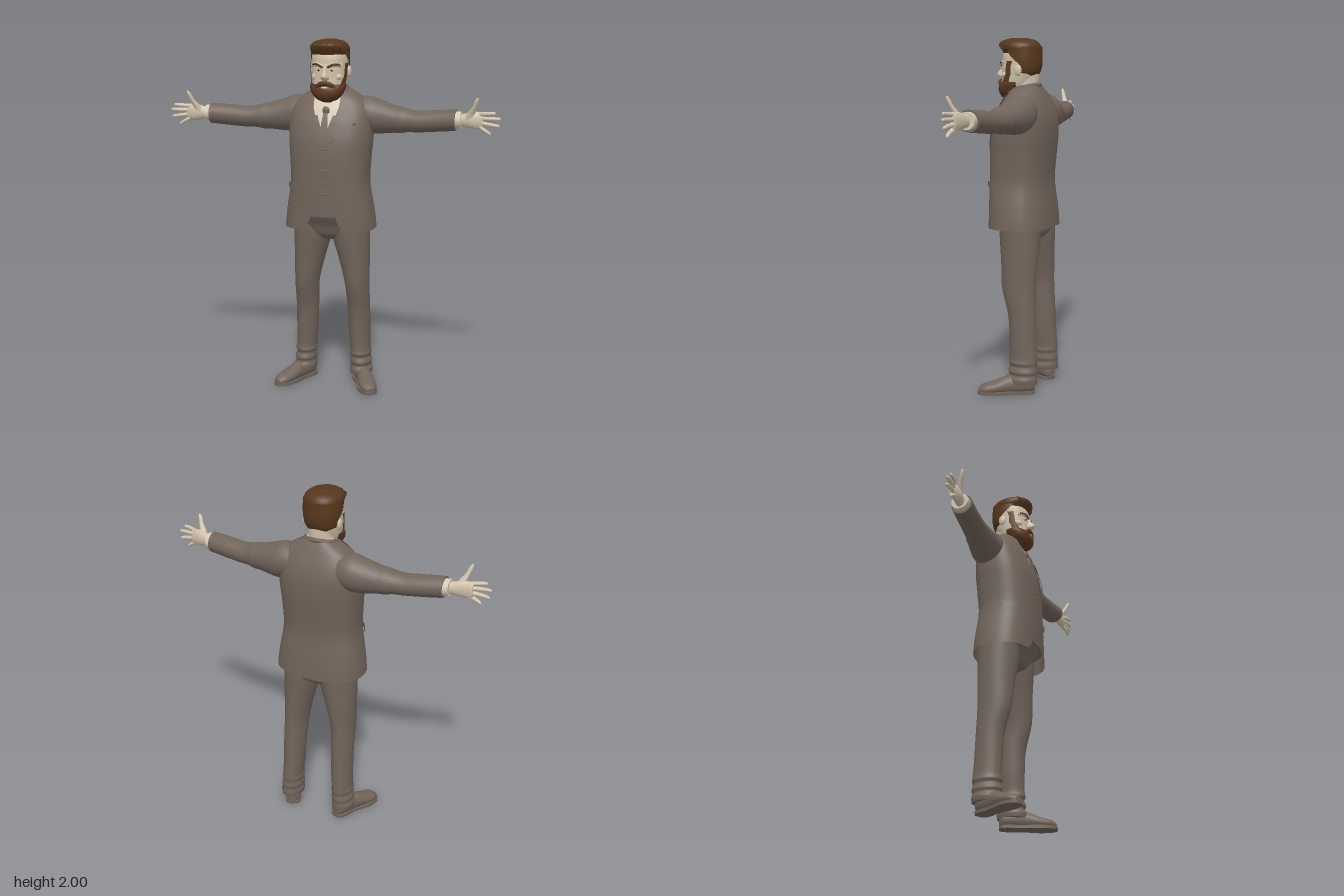
import * as THREE from 'three';

const paint = (name, color) => new THREE.MeshStandardMaterial({ name, color, side: THREE.DoubleSide });
const suit = paint('suit', 0x71645a), skin = paint('skin', 0xcfc1aa), shirt = paint('shirt', 0xd6c9b4);
const hair = paint('hair', 0x57371c), beard = paint('beard', 0x5c3821), dark = paint('dark', 0x3a2c22);

// Smooth interpolation of table rows at a fractional index
function cat(rows, s) {
  const i = Math.min(Math.floor(s), rows.length - 2), f = s - i;
  const [a, b, c, d] = [-1, 0, 1, 2].map(k => rows[Math.max(0, Math.min(rows.length - 1, i + k))]);
  return b.map((v, k) => v + 0.5 * f * (c[k] - a[k] + f * (2 * a[k] - 5 * v + 4 * c[k] - d[k] + f * (3 * (v - c[k]) + d[k] - a[k]))));
}

// Skin over a list of rings; closed rings get flat end caps
function loft(name, mat, rings, closed = true) {
  const pos = [], idx = [], n = rings[0].length, m = rings.length;
  rings.forEach(r => r.forEach(p => pos.push(p.x, p.y, p.z)));
  for (let i = 0; i < m - 1; i++) for (let j = 0; j < (closed ? n : n - 1); j++) {
    const a = i * n + j, b = i * n + (j + 1) % n;
    idx.push(a, a + n, b, b, a + n, b + n);
  }
  if (closed) [0, m - 1].forEach(e => {
    const base = pos.length / 3, c = new THREE.Vector3();
    rings[e].forEach(p => { pos.push(p.x, p.y, p.z); c.addScaledVector(p, 1 / n); });
    pos.push(c.x, c.y, c.z);
    for (let j = 0; j < n; j++) {
      const k = base + (j + 1) % n;
      if (e) idx.push(base + j, base + n, k); else idx.push(base + j, k, base + n);
    }
  });
  // Turn the faces outward
  const P = k => new THREE.Vector3().fromArray(pos, 3 * k);
  let vol = 0;
  for (let t = 0; t < idx.length; t += 3) vol += P(idx[t]).dot(P(idx[t + 1]).cross(P(idx[t + 2])));
  if (vol < 0) idx.reverse();
  const g = new THREE.BufferGeometry();
  g.setAttribute('position', new THREE.Float32BufferAttribute(pos, 3));
  g.setIndex(idx);
  g.computeVertexNormals();
  return named(name, g, mat);
}

function named(name, geometry, mat) {
  const mesh = new THREE.Mesh(geometry, mat);
  mesh.name = name;
  return mesh;
}

// Limb from rows [x, y, z, ra, rb], with elliptical rings square to one axis
function limb(name, mat, axis, rows, steps = 4, sides = 20) {
  const rings = [], total = (rows.length - 1) * steps;
  for (let i = 0; i <= total; i++) {
    const [x, y, z, ra, rb] = cat(rows, i / steps);
    rings.push(Array.from({ length: sides }, (_, j) => {
      const a = j / sides * Math.PI * 2, u = ra * Math.cos(a), v = rb * Math.sin(a);
      return axis === 'y' ? new THREE.Vector3(x + u, y, z + v)
        : axis === 'x' ? new THREE.Vector3(x, y + v, z + u) : new THREE.Vector3(x + u, y + v, z);
    }));
  }
  return loft(name, mat, rings);
}

// Upright rounded surface from rows [y, half width, front z, back z]
function surface(rows, p) {
  const pw = v => Math.sign(v) * Math.abs(v) ** p;
  const sample = y => {
    let i = 0;
    while (i < rows.length - 2 && y > rows[i + 1][0]) i++;
    return cat(rows, i + THREE.MathUtils.clamp((y - rows[i][0]) / (rows[i + 1][0] - rows[i][0]), 0, 1));
  };
  const at = (t, y, off = 0) => {
    const [, w, f, b] = sample(y);
    return new THREE.Vector3((w + off) * pw(Math.sin(t)), y, (f + b) / 2 + ((f - b) / 2 + off) * pw(Math.cos(t)));
  };
  const angle = (x, y) => Math.sign(x) * Math.asin(Math.min(1, Math.abs(x) / sample(y)[1]) ** (1 / p));
  return { at, angle };
}

const span = (a, b, n) => Array.from({ length: n + 1 }, (_, i) => a + (b - a) * i / n);
const solid = (name, mat, s, y0, y1, off = 0, n = 24) => loft(name, mat,
  span(y0, y1, n).map(y => span(0, Math.PI * 2, 48).slice(1).map(t => s.at(t, y, off))));
const shell = (name, mat, s, y0, y1, start, off = 0) => loft(name, mat,
  span(y0, y1, 40).map(y => span(start(y), Math.PI * 2 - start(y), 56).map(t => s.at(t, y, off))), false);

// Thin plate lying on a surface, from rows [y, x from, x to]
function patch(name, mat, s, rows, off) {
  const rings = [];
  for (let i = 0; i < rows.length - 1; i++) for (const f of span(0, 1, 6)) {
    const [y, a, b] = rows[i].map((v, k) => v + (rows[i + 1][k] - v) * f);
    rings.push(span(a, b, 8).map(x => s.at(s.angle(x, y), y, off)));
  }
  return loft(name, mat, rings, false);
}

const tube = (name, mat, pts, r, n = 24) => named(name, new THREE.TubeGeometry(
  new THREE.CatmullRomCurve3(pts.map(p => new THREE.Vector3(...p))), n, r, 8), mat);
function ball(name, mat, at, size) {
  const m = named(name, new THREE.SphereGeometry(1, 16, 12), mat);
  m.position.set(...at);
  m.scale.set(...size);
  return m;
}

export function createModel() {
  const model = new THREE.Group();
  model.name = 'suitedMan';
  const add = (...meshes) => model.add(...meshes);
  // Adds a part on the left and its mirror on the right
  const both = (...meshes) => meshes.forEach(mesh => {
    mesh.updateMatrix();
    const g = mesh.geometry.clone().applyMatrix4(mesh.matrix).scale(-1, 1, 1);
    if (!g.index) g.setIndex([...Array(g.attributes.position.count).keys()]);
    g.setIndex([...g.index.array].reverse());
    const base = mesh.name[0].toUpperCase() + mesh.name.slice(1);
    mesh.name = 'left' + base;
    add(mesh, named('right' + base, g, mesh.material));
  });

  // Jacket and waistcoat
  const body = surface([[0.94, 0.26, 0.175, -0.18], [1.05, 0.248, 0.175, -0.172], [1.2, 0.225, 0.175, -0.157],
    [1.35, 0.23, 0.172, -0.167], [1.45, 0.238, 0.162, -0.175], [1.55, 0.238, 0.135, -0.172], [1.62, 0.225, 0.105, -0.152],
    [1.68, 0.18, 0.075, -0.125], [1.71, 0.13, 0.05, -0.11], [1.735, 0.085, 0.02, -0.095]], 0.8);
  const gap = y => 0.075 + 0.05 * (Math.max(0, 1.02 - y) / 0.08) ** 2;
  add(shell('jacket', suit, body, 0.94, 1.735, y => body.angle(gap(y), y)));
  add(solid('waistcoat', suit, body, 1.02, 1.69, -0.014));
  both(patch('waistcoatFront', suit, body, [[1.6, 0.055, 0.08], [1.46, 0, 0.08], [1.13, 0, 0.08], [1.05, 0.035, 0.08]], -0.006));
  both(patch('waistcoatLapel', suit, body, [[1.6, 0.05, 0.075], [1.54, 0.028, 0.066], [1.45, 0, 0.042], [1.42, 0, 0.012]], -0.001));
  both(patch('jacketLapel', suit, body, [[1.715, 0.074, 0.09], [1.645, 0.074, 0.14], [1.63, 0.074, 0.122],
    [1.605, 0.074, 0.168], [1.5, 0.07, 0.135], [1.33, 0.064, 0.074]], 0.009));
  both(patch('pocketFlap', suit, body, [[1.205, 0.14, 0.222], [1.172, 0.142, 0.2225]], 0.01));
  add(patch('breastPocket', suit, body, [[1.535, 0.14, 0.19], [1.515, 0.14, 0.19]], 0.007));
  add(patch('pocketSquare', beard, body, [[1.548, 0.158, 0.162], [1.535, 0.15, 0.172]], 0.005));
  add(tube('jacketCollar', suit, [[0.078, 1.69, 0.055], [0.088, 1.715, 0.01], [0.075, 1.73, -0.055], [0, 1.738, -0.088],
    [-0.075, 1.73, -0.055], [-0.088, 1.715, 0.01], [-0.078, 1.69, 0.055]], 0.014, 40));
  for (const y of [1.4, 1.34, 1.28, 1.21, 1.15])
    add(ball('waistcoatButton', suit, body.at(0, y, -0.004).toArray(), [0.008, 0.008, 0.005]));

  // Shirt and tie
  add(patch('shirtFront', shirt, body, [[1.69, -0.072, 0.072], [1.6, -0.055, 0.055], [1.46, 0, 0]], -0.008));
  add(limb('shirtCollar', shirt, 'y', [[0, 1.64, -0.015, 0.085, 0.085], [0, 1.745, -0.02, 0.077, 0.074]]));
  both(patch('collarPoint', shirt, body, [[1.68, 0.03, 0.074], [1.63, 0.012, 0.072], [1.585, 0.045, 0.058]], 0.002));
  add(patch('tie', suit, body, [[1.63, -0.02, 0.02], [1.592, -0.013, 0.013], [1.48, -0.025, 0.025], [1.452, -0.005, 0.005]], -0.001));
  add(ball('tieKnot', suit, body.at(0, 1.61, -0.004).toArray(), [0.021, 0.024, 0.011]));

  // Sleeves and cuffs
  both(limb('sleeve', suit, 'x', [[0.1, 1.585, -0.045, 0.085, 0.085], [0.2, 1.58, -0.05, 0.1, 0.105], [0.27, 1.57, -0.045, 0.092, 0.096],
    [0.36, 1.56, -0.03, 0.08, 0.077], [0.4, 1.557, -0.025, 0.077, 0.074], [0.44, 1.555, -0.018, 0.07, 0.064], [0.5, 1.552, -0.01, 0.067, 0.06],
    [0.6, 1.56, 0, 0.063, 0.06], [0.71, 1.568, 0.015, 0.062, 0.058]], 4, 28));
  both(limb('shirtCuff', shirt, 'x', [[0.69, 1.568, 0.014, 0.05, 0.048], [0.74, 1.57, 0.016, 0.05, 0.046]]));

  // Hands, palms forward and thumbs up
  both(limb('palm', skin, 'x', [[0.72, 1.57, 0.016, 0.028, 0.034], [0.755, 1.57, 0.02, 0.026, 0.036], [0.79, 1.572, 0.026, 0.027, 0.045],
    [0.83, 1.572, 0.028, 0.022, 0.047], [0.86, 1.571, 0.027, 0.014, 0.038]]));
  both(limb('thumb', skin, 'y', [[0.775, 1.56, 0.028, 0.025, 0.02], [0.795, 1.61, 0.042, 0.021, 0.017], [0.815, 1.645, 0.058, 0.014, 0.013],
    [0.828, 1.68, 0.07, 0.012, 0.011], [0.835, 1.698, 0.074, 0.005, 0.005]], 4, 12));
  [[1.606, 0.93, 1.614, 0.05], [1.582, 0.957, 1.584, 0.04], [1.559, 0.95, 1.544, 0.034], [1.54, 0.905, 1.5, 0.04]].forEach(([y, tx, ty, tz], i) => {
    const row = (f, r) => [0.835 + (tx - 0.835) * f, y + (ty - y) * f, 0.026 + (tz - 0.026) * f + 0.008 * Math.sin(f * 3), r, r];
    both(limb(['index', 'middle', 'ring', 'little'][i] + 'Finger', skin, 'x',
      [row(0, 0.013), row(0.35, 0.012), row(0.7, 0.011), row(0.93, 0.009), row(1, 0.003)], 3, 12));
  });

  // Trousers with bunched cloth at the ankles
  const hips = surface([[0.86, 0.06, 0.04, -0.09], [0.9, 0.15, 0.085, -0.135], [0.96, 0.212, 0.11, -0.142], [1.02, 0.212, 0.145, -0.142],
    [1.1, 0.205, 0.155, -0.14]], 0.85);
  add(solid('trouserSeat', suit, hips, 0.87, 1.09));
  add(patch('waistband', suit, hips, [[1.04, -0.12, 0.12], [1.01, -0.12, 0.12]], 0.006));
  both(limb('trouserLeg', suit, 'y', [[0.112, 1.0, -0.02, 0.11, 0.12], [0.112, 0.9, -0.022, 0.11, 0.118], [0.133, 0.75, -0.026, 0.088, 0.107],
    [0.15, 0.6, -0.028, 0.069, 0.098], [0.155, 0.45, -0.05, 0.065, 0.081], [0.159, 0.3, -0.058, 0.062, 0.079], [0.164, 0.21, -0.062, 0.058, 0.081],
    [0.165, 0.18, -0.06, 0.063, 0.084], [0.165, 0.16, -0.063, 0.056, 0.078], [0.168, 0.13, -0.06, 0.064, 0.086], [0.168, 0.11, -0.062, 0.058, 0.08],
    [0.17, 0.085, -0.058, 0.066, 0.087], [0.17, 0.06, -0.058, 0.062, 0.085]], 4, 28));

  // Shoes turned outward
  const place = mesh => {
    mesh.position.set(0.14, 0, -0.12);
    mesh.rotation.y = 0.45;
    both(mesh);
  };
  const upper = limb('shoe', suit, 'z', [[0, 0.04, 0, 0.02, 0.025], [0, 0.05, 0.025, 0.043, 0.045], [0, 0.055, 0.09, 0.045, 0.055],
    [0, 0.05, 0.16, 0.045, 0.05], [0, 0.038, 0.225, 0.051, 0.036], [0, 0.03, 0.285, 0.044, 0.029], [0, 0.022, 0.317, 0.02, 0.015]], 4, 24);
  const up = upper.geometry.attributes.position;
  for (let i = 0; i < up.count; i++) up.setY(i, Math.max(0.01, up.getY(i)));
  upper.geometry.computeVertexNormals();
  place(upper);
  const half = [[0.03, 0.003], [0.046, 0.04], [0.042, 0.11], [0.05, 0.18], [0.056, 0.23], [0.045, 0.29], [0.02, 0.32]];
  const outline = [...half, ...half.map(([x, z]) => [-x, z]).reverse()].map(([x, z]) => new THREE.Vector3(x, -z, 0));
  const sole = new THREE.Shape(new THREE.CatmullRomCurve3(outline, true).getPoints(48).slice(0, 48).map(p => new THREE.Vector2(p.x, p.y)));
  place(named('sole', new THREE.ExtrudeGeometry(sole, { depth: 0.018, bevelEnabled: false }).rotateX(-Math.PI / 2), suit));
  for (const [z, y] of [[0.15, 0.1], [0.175, 0.091], [0.2, 0.08]])
    place(tube('lace', suit, [[-0.025, y - 0.01, z], [0, y + 0.002, z], [0.025, y - 0.01, z]], 0.005, 8));

  // Head, neck and face
  const head = surface([[1.68, 0.05, 0.1, 0], [1.7, 0.07, 0.12, -0.02], [1.74, 0.088, 0.125, -0.05], [1.8, 0.096, 0.124, -0.08],
    [1.86, 0.099, 0.121, -0.09], [1.92, 0.098, 0.112, -0.09], [1.97, 0.07, 0.07, -0.06]], 0.88);
  add(solid('head', skin, head, 1.68, 1.97));
  add(limb('neck', skin, 'y', [[0, 1.64, -0.01, 0.072, 0.07], [0, 1.8, -0.01, 0.075, 0.075]]));
  const nose = surface([[1.772, 0.008, 0.135, 0.09], [1.784, 0.022, 0.154, 0.09], [1.8, 0.02, 0.165, 0.09], [1.83, 0.011, 0.142, 0.09],
    [1.865, 0.015, 0.126, 0.09]], 1);
  add(solid('nose', skin, nose, 1.772, 1.865));
  both(ball('ear', skin, [0.104, 1.82, -0.005], [0.012, 0.032, 0.022]));
  both(ball('eye', shirt, [0.038, 1.832, 0.113], [0.015, 0.007, 0.009]));
  both(ball('pupil', dark, [0.037, 1.832, 0.12], [0.006, 0.006, 0.004]));
  both(tube('browRidge', skin, [[0.012, 1.85, 0.118], [0.045, 1.862, 0.112], [0.08, 1.858, 0.085]], 0.012));
  both(tube('eyebrow', hair, [[0.014, 1.848, 0.129], [0.045, 1.863, 0.122], [0.078, 1.862, 0.096]], 0.006));
  both(ball('cheek', skin, [0.058, 1.795, 0.088], [0.03, 0.022, 0.02]));

  // Beard, sideburns and moustache
  const chin = surface([[1.655, 0.03, 0.1, 0.03], [1.67, 0.06, 0.128, 0.01], [1.7, 0.086, 0.143, 0], [1.735, 0.1, 0.14, -0.015],
    [1.76, 0.101, 0.122, -0.02]], 0.9);
  add(solid('beard', beard, chin, 1.655, 1.755));
  both(patch('sideburn', beard, head, [[1.87, 0.092, 0.099], [1.8, 0.088, 0.0955], [1.74, 0.07, 0.088]], 0.008));
  both(tube('moustache', beard, [[0, 1.762, 0.132], [0.025, 1.757, 0.132], [0.048, 1.738, 0.12], [0.056, 1.72, 0.114]], 0.013));
  add(ball('lowerLip', skin, [0, 1.737, 0.138], [0.02, 0.006, 0.008]));

  // Hair: back and sides, swept top and strands
  const back = surface([[1.78, 0.085, 0.11, -0.075], [1.82, 0.1, 0.115, -0.094], [1.87, 0.106, 0.118, -0.102], [1.95, 0.106, 0.118, -0.1]], 0.9);
  add(shell('backHair', hair, back, 1.78, 1.95, y => 1.85 - 0.75 * THREE.MathUtils.smoothstep(y, 1.82, 1.94)));
  const top = surface([[1.915, 0.104, 0.114, -0.101], [1.945, 0.109, 0.132, -0.097], [1.97, 0.1, 0.14, -0.085], [1.988, 0.076, 0.115, -0.06],
    [2.0, 0.028, 0.068, -0.015]], 0.95);
  add(solid('topHair', hair, top, 1.915, 1.998));
  for (const x of [-0.085, -0.055, -0.02, 0.015, 0.05, 0.08]) {
    const drop = 1.6 * x * x;
    add(tube('hairStrand', hair, [[x * 0.95, 1.935, 0.118 - 4 * x * x], [x, 1.968 - drop, 0.136 - 4 * x * x],
      [x * 0.95, 1.991 - 2.6 * x * x, 0.075], [x * 0.9, 1.99 - 2.2 * x * x, 0.01], [x * 0.8, 1.965 - drop, -0.065]], 0.007));
  }
  return model;
}
